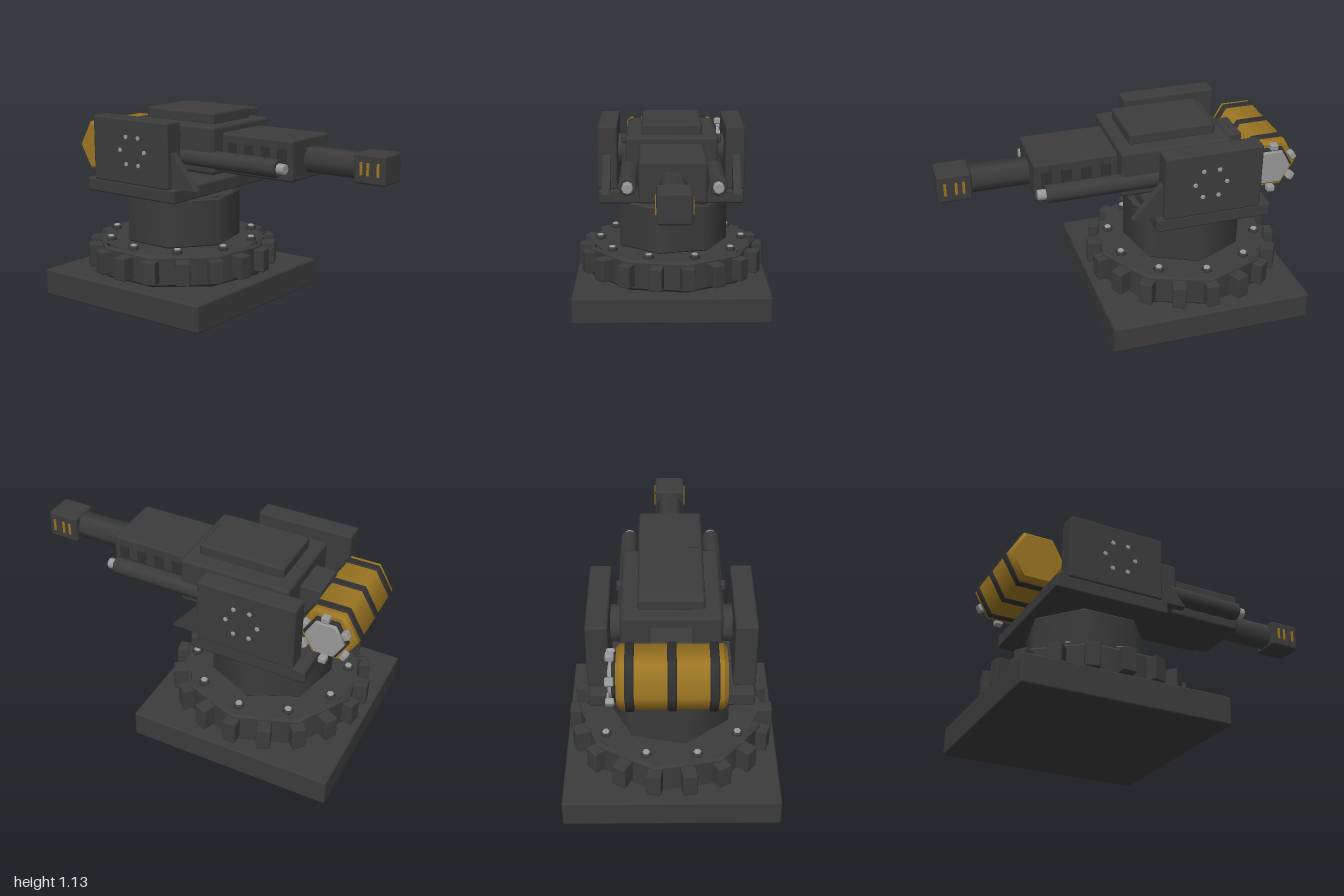
import * as THREE from 'three';
import { mergeGeometries } from 'three/addons/utils/BufferGeometryUtils.js';
import { RoundedBoxGeometry } from 'three/addons/geometries/RoundedBoxGeometry.js';

const mat = (name, color) => Object.assign(new THREE.MeshStandardMaterial({ color }), { name });

export function createModel() {
  const gunmetal = mat('gunmetal', 0x3c3c3c);
  const darkMetal = mat('dark metal', 0x313131);
  const steel = mat('steel', 0x9a9a9a);
  const ochre = mat('ochre', 0x9c7622);
  const root = new THREE.Group();
  root.name = 'turret';

  const add = (name, geometry, material, x, y, z) => {
    const mesh = new THREE.Mesh(geometry, material);
    mesh.name = name;
    mesh.position.set(x, y, z);
    root.add(mesh);
    return mesh;
  };

  // Bevelled box given by its minimum and maximum on each axis
  const box = (name, material, [x0, x1], [y0, y1], [z0, z1], bevel = 0.01) =>
    add(name, new RoundedBoxGeometry(x1 - x0, y1 - y0, z1 - z0, 1, bevel), material,
      (x0 + x1) / 2, (y0 + y1) / 2, (z0 + z1) / 2);

  // Upright n-sided prism with chamfered rims and one corner on +x
  const prism = (r, h, n, b) => {
    const g = mergeGeometries([
      new THREE.CylinderGeometry(r, r, h - 2 * b, n, 1, true),
      new THREE.CylinderGeometry(r - b, r, b, n, 1, true).translate(0, h / 2 - b / 2, 0),
      new THREE.CylinderGeometry(r, r - b, b, n, 1, true).translate(0, -h / 2 + b / 2, 0),
      new THREE.CircleGeometry(r - b, n, Math.PI / 2).rotateX(-Math.PI / 2).translate(0, h / 2, 0),
      new THREE.CircleGeometry(r - b, n, -Math.PI / 2).rotateX(Math.PI / 2).translate(0, -h / 2, 0),
    ]);
    return g.rotateY(Math.PI / 2);
  };
  // Prism laid along z (corner on x) or along x (corner on z)
  const prismZ = (r, h, n, b) => prism(r, h, n, b).rotateX(Math.PI / 2);
  const prismX = (r, h, n, b) => prism(r, h, n, b).rotateY(Math.PI / 2).rotateZ(-Math.PI / 2);

  // Base, toothed ring and drum
  const cz = -0.415;
  box('basePlate', gunmetal, [-0.58, 0.58], [0, 0.16], [-1, 0.17], 0.012);
  add('baseRing', prism(0.515, 0.185, 9, 0.015), gunmetal, 0, 0.2525, cz);
  add('drum', prism(0.344, 0.285, 7, 0.01), gunmetal, 0, 0.485, cz);
  for (let i = 0; i < 18; i++) {
    const a = (10 + i * 20) * Math.PI / 180;
    add('ringTooth', new RoundedBoxGeometry(0.08, 0.135, 0.1, 1, 0.008), gunmetal,
      Math.sin(a) * 0.513, 0.255, cz + Math.cos(a) * 0.513).rotation.y = a;
  }
  for (let i = 0; i < 10; i++) {
    const a = (18 + i * 36) * Math.PI / 180;
    const x = Math.sin(a) * 0.435, z = cz + Math.cos(a) * 0.435;
    add('ringBoltBase', prism(0.03, 0.025, 6, 0.005), gunmetal, x, 0.355, z);
    add('ringBoltHead', prism(0.02, 0.01, 6, 0.003), steel, x, 0.37, z);
  }

  // Turret platform, body and top hatch
  box('platform', gunmetal, [-0.425, 0.425], [0.645, 0.725], [-0.78, -0.115], 0.012);
  box('body', gunmetal, [-0.262, 0.262], [0.8, 1.07], [-0.6, 0.035], 0.02);
  box('topHatch', gunmetal, [-0.172, 0.172], [1.06, 1.132], [-0.53, -0.035], 0.015);
  box('rearConnector', gunmetal, [-0.11, 0.11], [0.83, 1.01], [-0.72, -0.58]);

  // Receiver, barrel and muzzle
  box('receiver', gunmetal, [-0.18, 0.18], [0.803, 1.03], [0.02, 0.497], 0.015);
  add('barrel', prismZ(0.077, 0.38, 6, 0.005), gunmetal, 0, 0.91, 0.66);
  box('muzzle', gunmetal, [-0.088, 0.088], [0.828, 0.988], [0.812, 1], 0.014);

  // Triangular bracket at the front of each armour panel
  const bracket = new THREE.Shape([
    new THREE.Vector2(-0.01, 0.73), new THREE.Vector2(0.17, 0.73), new THREE.Vector2(0.17, 0.945),
  ]);

  for (const s of [-1, 1]) {
    const span = (a, b) => (s > 0 ? [a, b] : [-b, -a]);

    for (const z of [0.43, 0.32, 0.21, 0.1])
      box('receiverVent', darkMetal, span(0.17, 0.187), [0.86, 0.983], [z - 0.028, z + 0.028], 0.004);
    for (const z of [0.96, 0.9, 0.86])
      add('muzzleSlot', new THREE.BoxGeometry(0.008, 0.07, 0.014), ochre, s * 0.09, 0.91, z);

    // Side tubes with steel tips
    add('sideTube', prismZ(0.052, 0.75, 8, 0.006), gunmetal, s * 0.24, 0.885, 0.075);
    add('sideTubeTip', prismZ(0.03, 0.06, 8, 0.004), steel, s * 0.24, 0.885, 0.465);

    // Armour panel on its trunnion
    box('armourPanel', gunmetal, span(0.315, 0.431), [0.72, 1.095], [-0.712, -0.155], 0.012);
    add('trunnion', prismX(0.1, 0.1, 12, 0.006), gunmetal, s * 0.285, 0.905, cz);
    box('bodyLug', gunmetal, span(0.25, 0.29), [0.99, 1.03], [-0.25, -0.2], 0.006);
    const fin = new THREE.ExtrudeGeometry(bracket, { depth: 0.044, bevelEnabled: false });
    fin.rotateY(Math.PI / 2).translate(-0.022, 0, 0);
    add('frontBracket', fin, gunmetal, s * 0.377, 0, 0);

    for (let i = 0; i < 6; i++) {
      const a = i * Math.PI / 3;
      add('panelScrew', prismX(0.014, 0.012, 6, 0.003), steel,
        s * 0.431, 0.913 + Math.sin(a) * 0.09, cz + Math.cos(a) * 0.09);
    }
  }

  // Rear tank with bands
  const ty = 0.878, tz = -0.825;
  add('tank', prismX(0.166, 0.548, 6, 0.02), ochre, 0, ty, tz);
  for (const x of [-0.208, 0, 0.208])
    add('tankBand', prismX(0.175, 0.046, 6, 0.006), darkMetal, x, ty, tz);

  // Steel end cap with a ring of knobs
  add('tankCapSeat', prismX(0.125, 0.03, 6, 0.005), darkMetal, 0.28, ty, tz);
  add('tankCap', prismX(0.11, 0.035, 6, 0.005), steel, 0.295, ty, tz);
  for (let i = 0; i < 6; i++) {
    const a = Math.PI / 6 + i * Math.PI / 3;
    add('tankCapKnob', new RoundedBoxGeometry(0.045, 0.045, 0.035, 1, 0.008), steel,
      0.305, ty + Math.sin(a) * 0.13, tz + Math.cos(a) * 0.13).rotation.x = -a;
  }
  return root;
}
